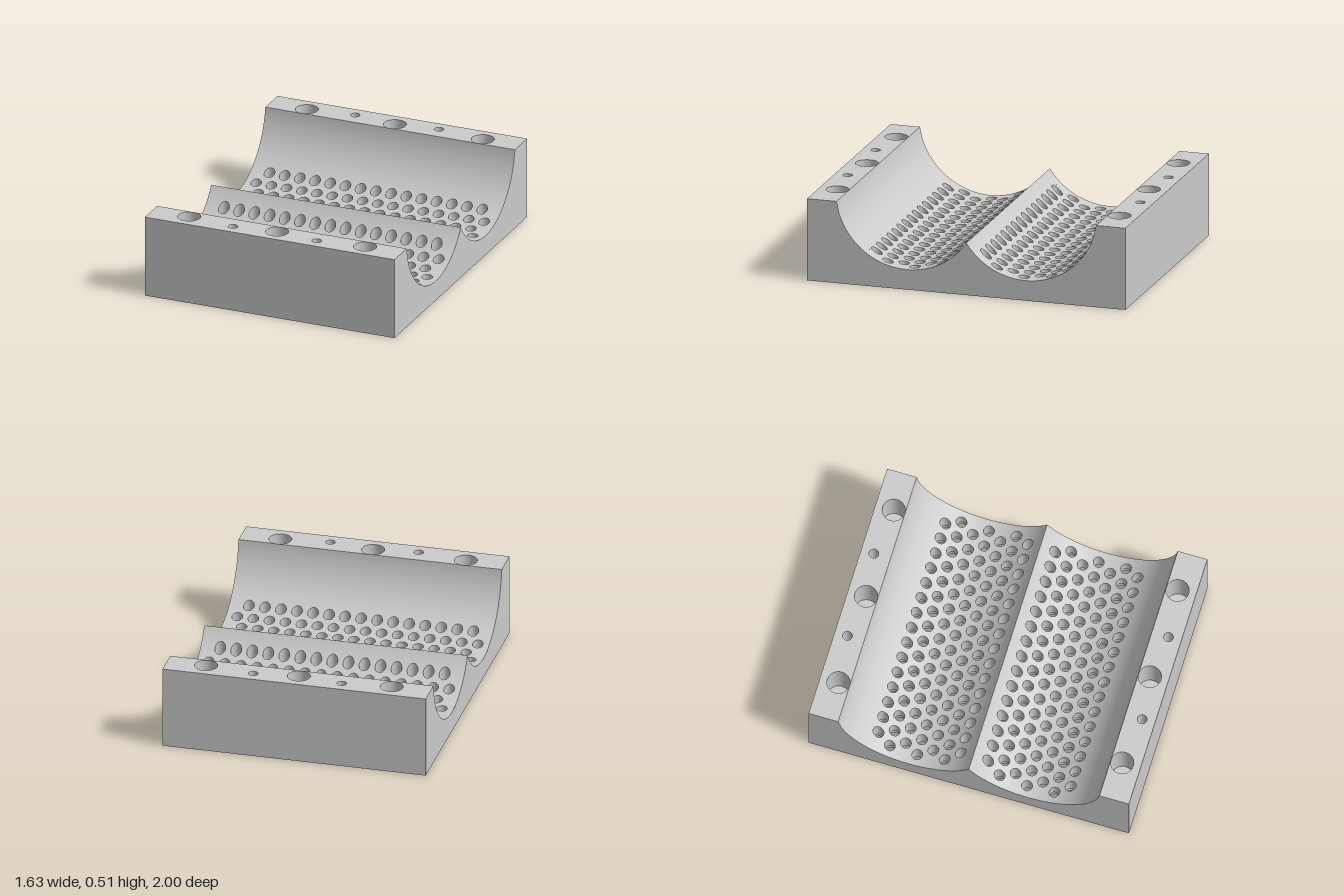
import * as THREE from 'three';
import { mergeGeometries } from 'three/addons/utils/BufferGeometryUtils.js';

const HALF_X = 0.813, TOP = 0.51, FLOOR = 0.125;
const ARC_R = 0.447, ARC_Z = 0.373, ARC_Y = FLOOR + ARC_R;
const RIM = ARC_Z + Math.sqrt(ARC_R ** 2 - (ARC_Y - TOP) ** 2);
const PITCH = 0.099, ROW = 0.0857, ROWS = 7, HOLE_R = 0.0325;
const SEG = 24;

const height = z => ARC_Y - Math.sqrt(ARC_R ** 2 - (z - ARC_Z) ** 2);

// Grid surface from a point rule and a normal rule; faces follow the normals
function patch(nu, nv, point, normalAt) {
  const pos = [], nor = [], idx = [];
  for (let j = 0; j <= nv; j++) for (let i = 0; i <= nu; i++) {
    const p = point(i / nu, j / nv);
    pos.push(p.x, p.y, p.z);
    nor.push(...normalAt(p).normalize().toArray());
  }
  const at = (a, k) => new THREE.Vector3().fromArray(a, k * 3);
  const tri = (a, b, c) => {
    const n = at(pos, b).sub(at(pos, a)).cross(at(pos, c).sub(at(pos, a)));
    if (n.dot(at(nor, a)) < 0) idx.push(a, c, b); else idx.push(a, b, c);
  };
  for (let j = 0; j < nv; j++) for (let i = 0; i < nu; i++) {
    const a = j * (nu + 1) + i, b = a + nu + 1;
    tri(a, a + 1, b + 1);
    tri(a, b + 1, b);
  }
  const g = new THREE.BufferGeometry();
  g.setAttribute('position', new THREE.Float32BufferAttribute(pos, 3));
  g.setAttribute('normal', new THREE.Float32BufferAttribute(nor, 3));
  g.setIndex(idx);
  return g;
}

// Plain piece of the trough arc
const arcNormal = p => new THREE.Vector3(0, ARC_Y - p.y, ARC_Z - p.z);
const onArc = (x, z) => new THREE.Vector3(x, height(z), z);
const arcPiece = (x0, x1, z0, z1, n) => patch(1, n,
  (u, v) => onArc(x0 + (x1 - x0) * u, z0 + (z1 - z0) * v), arcNormal);

// Rectangular cell of the trough arc with a round hole in the middle
const arcCell = (cx, cz) => patch(SEG, 2, (u, v) => {
  const c = Math.cos(u * 2 * Math.PI), s = Math.sin(u * 2 * Math.PI);
  const m = Math.max(Math.abs(c), Math.abs(s));
  return onArc(
    cx + THREE.MathUtils.lerp(HOLE_R * c, PITCH / 2 * c / m, v),
    cz + THREE.MathUtils.lerp(HOLE_R * s, ROW / 2 * s / m, v));
}, arcNormal);

// Inward-facing wall of a vertical hole; the upper edge may follow a curve
const bore = (cx, cz, r, y0, top) => patch(SEG, 1, (u, v) => {
  const a = u * 2 * Math.PI, z = cz + r * Math.sin(a);
  return new THREE.Vector3(cx + r * Math.cos(a), y0 + (top(z) - y0) * v, z);
}, p => new THREE.Vector3(cx - p.x, 0, cz - p.z));

// Hole widened from below: narrow bore, step and wide bore
const steppedBore = (cx, cz, r, wideR, stepY, top) => [
  bore(cx, cz, r, stepY, top),
  bore(cx, cz, wideR, 0, () => stepY),
  new THREE.RingGeometry(r, wideR, SEG).rotateX(Math.PI / 2).translate(cx, stepY, cz),
];

// Horizontal plate spanning z0..z1 at height y with round holes [x, z, r]
function plate(z0, z1, y, holes, up) {
  const k = up ? -1 : 1;
  const shape = new THREE.Shape([[-HALF_X, z0], [HALF_X, z0], [HALF_X, z1], [-HALF_X, z1]]
    .map(([x, z]) => new THREE.Vector2(x, k * z)));
  for (const [x, z, r] of holes) {
    const pts = [];
    for (let i = 0; i < SEG; i++) {
      const a = i / SEG * 2 * Math.PI;
      pts.push(new THREE.Vector2(x + r * Math.cos(a), k * (z + r * Math.sin(a))));
    }
    shape.holes.push(new THREE.Path(pts));
  }
  return new THREE.ShapeGeometry(shape).rotateX(k * Math.PI / 2).translate(0, y, 0);
}

// Scalloped end face, side = +1 or -1 in x
function endFace(side) {
  const pts = [[0, 0], [1, 0], [1, TOP]];
  for (let i = 0; i <= 48; i++) {
    const z = RIM * (1 - i / 48);
    pts.push([z, height(z)]);
  }
  const shape = new THREE.Shape(pts.map(([z, y]) => new THREE.Vector2(-side * z, y)));
  return new THREE.ShapeGeometry(shape).rotateY(side * Math.PI / 2).translate(side * HALF_X, 0, 0);
}

export function createModel() {
  const metal = new THREE.MeshStandardMaterial({ color: 0xcbcbcb });
  metal.name = 'grey metal';
  const model = new THREE.Group();
  model.name = 'perforatedTwinTroughBlock';

  // Staggered perforations in one trough; the thicker outer rows are widened from below
  const firstZ = ROW / 2, lastZ = ROW * (ROWS + 0.5);
  const wideR = 0.042, wideY = 0.06;
  const trough = [
    arcPiece(-HALF_X, HALF_X, 0, firstZ, 3),
    arcPiece(-HALF_X, HALF_X, lastZ, RIM, 18),
  ];
  const perforationWalls = [], bottomHoles = [];
  for (let r = 0; r < ROWS; r++) {
    const z = ROW * (r + 1), count = 15 + r % 2, edge = count * PITCH / 2;
    const widened = r < 2 || r > 4;
    for (let i = 0; i < count; i++) {
      const x = (i - (count - 1) / 2) * PITCH;
      trough.push(arcCell(x, z));
      if (widened) perforationWalls.push(...steppedBore(x, z, HOLE_R, wideR, wideY, height));
      else perforationWalls.push(bore(x, z, HOLE_R, 0, height));
      bottomHoles.push([x, z, widened ? wideR : HOLE_R]);
    }
    for (const s of [-1, 1]) trough.push(arcPiece(s * edge, s * HALF_X, z - ROW / 2, z + ROW / 2, 6));
  }

  // Blind sockets and counterbored bolt holes in the flange
  const socketR = 0.0695, socketZ = 0.886, socketY = 0.26;
  const boltR = 0.029, boltZ = 0.92, counterR = 0.047, counterY = 0.15;
  const topHoles = [], socketParts = [], boltParts = [];
  for (const x of [-0.573, 0, 0.573]) {
    topHoles.push([x, socketZ, socketR]);
    socketParts.push(bore(x, socketZ, socketR, socketY, () => TOP),
      new THREE.CircleGeometry(socketR, SEG).rotateX(-Math.PI / 2).translate(x, socketY, socketZ));
  }
  for (const x of [-0.273, 0.273]) {
    topHoles.push([x, boltZ, boltR]);
    bottomHoles.push([x, boltZ, counterR]);
    boltParts.push(...steppedBore(x, boltZ, boltR, counterR, counterY, () => TOP));
  }

  const strip = list => mergeGeometries(list.map(g => { g.deleteAttribute('uv'); return g; }));
  const parts = {
    trough: strip(trough),
    perforationWalls: strip(perforationWalls),
    flangeTop: plate(RIM, 1, TOP, topHoles, true),
    sockets: strip(socketParts),
    boltHoles: strip(boltParts),
    underside: plate(0, 1, 0, bottomHoles, false),
    outerWall: new THREE.PlaneGeometry(2 * HALF_X, TOP).translate(0, TOP / 2, 1),
    endFaces: strip([endFace(1), endFace(-1)]),
  };

  // The back half is the front half turned about the vertical axis
  for (const [name, angle] of [['frontHalf', 0], ['backHalf', Math.PI]]) {
    const half = new THREE.Group();
    half.name = name;
    half.rotation.y = angle;
    for (const [part, geometry] of Object.entries(parts)) {
      const mesh = new THREE.Mesh(geometry, metal);
      mesh.name = part;
      half.add(mesh);
    }
    model.add(half);
  }
  return model;
}
